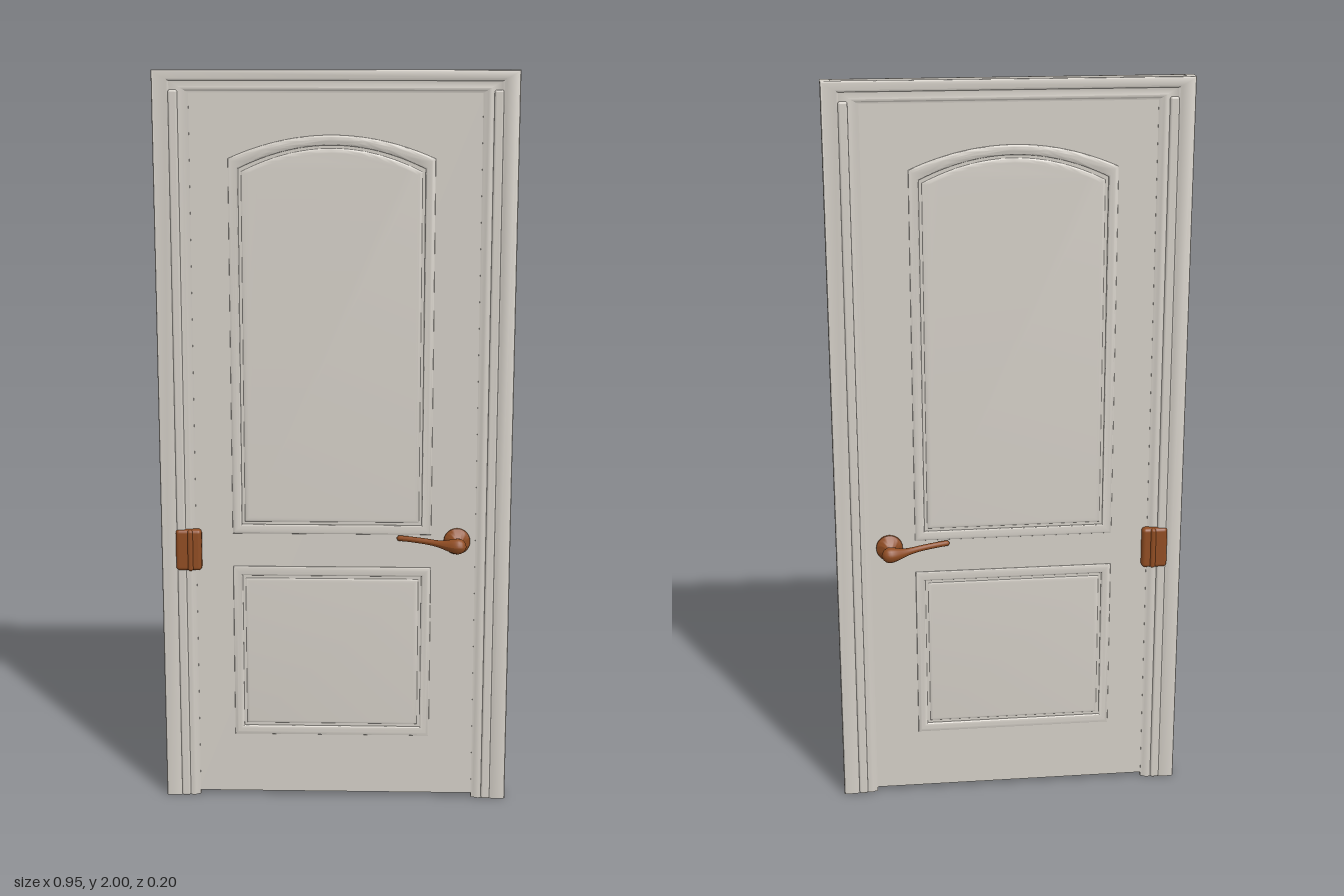
import * as THREE from 'three';
import { RoundedBoxGeometry } from 'three/addons/geometries/RoundedBoxGeometry.js';
import { toCreasedNormals } from 'three/addons/utils/BufferGeometryUtils.js';

const W = 0.475, H = 2;

export function createModel() {
  const paint = new THREE.MeshStandardMaterial({ color: 0xd2cdc5 });
  paint.name = 'warm grey paint';
  const bronze = new THREE.MeshStandardMaterial({ color: 0x8f4c22 });
  bronze.name = 'brown metal';

  const group = new THREE.Group();
  group.name = 'door';
  group.position.z = -0.003;
  const add = (name, geo, mat, x = 0, y = 0, z = 0, parent = group) => {
    const m = new THREE.Mesh(geo, mat);
    m.name = name;
    m.position.set(x, y, z);
    parent.add(m);
    return m;
  };

  // Frame moulding: [distance inward, z], front half then mirrored back half
  const half = [[0, 0.016], [0, 0.021], [0.002, 0.025], [0.007, 0.027], [0.036, 0.027], [0.041, 0.025],
    [0.045, 0.022], [0.068, 0.022], [0.074, 0.024], [0.082, 0.023], [0.088, 0.019], [0.095, 0.018]];
  const outline = [...half, ...half.slice().reverse().map(([d, z]) => [d, -z])];
  const slotted = [...outline, [0.06, -0.016], [0.06, 0.016]]; // channel along the outer edge
  const stations = [
    (d, z) => [-W + d, 0, z],
    (d, z) => [-W + d, H - d * 0.61, z],
    (d, z) => [W - d, H - d * 0.61, z],
    (d, z) => [W - d, 0, z],
  ];
  const pos = [];
  for (let j = 0; j < 3; j++) {
    slotted.forEach((p, i) => {
      const q = slotted[(i + 1) % slotted.length];
      const a = stations[j](...p), b = stations[j](...q), c = stations[j + 1](...q), d = stations[j + 1](...p);
      pos.push(...a, ...b, ...c, ...a, ...c, ...d);
    });
  }
  const frameGeo = new THREE.BufferGeometry();
  frameGeo.setAttribute('position', new THREE.Float32BufferAttribute(pos, 3));
  add('frame', toCreasedNormals(frameGeo, 0.7), paint);

  for (const s of [-1, 1]) {
    // Closed outer edge, foot and raised bead of each jamb
    add('jambEdge', new THREE.BoxGeometry(0.025, H, 0.032), paint, s * (W - 0.0125), H / 2, 0);
    const foot = new THREE.Shape(outline.map(([d, z]) => new THREE.Vector2(s * (W - d), z)));
    add('jambFoot', new THREE.ShapeGeometry(foot).rotateX(Math.PI / 2), paint);
    add('jambBead', new RoundedBoxGeometry(0.024, 1.95, 0.06, 3, 0.006), paint, s * 0.42, 0.975, 0);
  }

  // Door leaf
  add('leaf', new THREE.BoxGeometry(0.77, 1.933, 0.034), paint, 0, 0.9785, 0);

  // Panel outline, inset by t, with an optional arched head
  const panelShape = (y0, y1, rise, t, Type = THREE.Shape) => {
    const w = 0.27 - t, s = new Type();
    s.moveTo(-w, y0 + t);
    s.lineTo(w, y0 + t);
    s.lineTo(w, y1 - t);
    if (rise) s.quadraticCurveTo(0, y1 - t + rise * 2, -w, y1 - t);
    else s.lineTo(-w, y1 - t);
    s.closePath();
    return s;
  };
  const raised = (shape, height, bevel) => toCreasedNormals(new THREE.ExtrudeGeometry(shape, {
    depth: 0.001, bevelThickness: height, bevelSize: bevel, bevelOffset: -bevel, bevelSegments: 4, curveSegments: 24,
  }), 0.6);
  for (const [name, y0, y1, rise] of [['upperPanel', 0.765, 1.775, 0.06], ['lowerPanel', 0.183, 0.672, 0]]) {
    const ring = panelShape(y0, y1, rise, 0);
    ring.holes.push(panelShape(y0, y1, rise, 0.026, THREE.Path));
    const ringGeo = raised(ring, 0.004, 0.01);
    const fieldGeo = raised(panelShape(y0, y1, rise, 0.034), 0.003, 0.012);
    for (const s of [1, -1]) {
      const side = new THREE.Group();
      side.name = name;
      side.position.x = -0.01;
      side.rotation.y = s > 0 ? 0 : Math.PI;
      group.add(side);
      add('panelMoulding', ringGeo, paint, 0, 0, 0.017, side);
      add('panelField', fieldGeo, paint, 0, 0, 0.016, side);
    }
  }

  // Lever handles on both faces
  const profile = [[0, 0.014], [0.036, 0.014], [0.036, 0.023], [0.031, 0.029], [0.018, 0.038], [0.008, 0.047],
    [0.006, 0.055], [0.008, 0.075]].map(([r, y]) => new THREE.Vector2(r, y));
  const roseGeo = toCreasedNormals(new THREE.LatheGeometry(profile, 28), 0.6).rotateX(Math.PI / 2);
  const leverGeo = (s) => {
    const path = new THREE.CatmullRomCurve3([[0.354, 0.749, 0.078], [0.335, 0.75, 0.078], [0.3, 0.751, 0.07],
      [0.25, 0.755, 0.051], [0.2, 0.757, 0.034], [0.166, 0.757, 0.023]].map(([x, y, z]) => new THREE.Vector3(x, y, z * s)));
    const n = 40, geo = new THREE.TubeGeometry(path, n, 1, 16), p = geo.attributes.position;
    const c = new THREE.Vector3(), v = new THREE.Vector3();
    for (let i = 0; i < p.count; i++) {
      const t = Math.floor(i / 17) / n;
      // Rounded bulb at the pivot, tapering to a slim closed tip
      const bulb = 0.013 * Math.exp(-(((t - 0.1) / 0.2) ** 2));
      const start = Math.sqrt(Math.max(0, 1 - Math.max(0, 1 - t / 0.12) ** 2));
      const end = Math.sqrt(Math.max(0, 1 - Math.max(0, (t - 0.96) / 0.04) ** 2));
      const r = (0.0085 + bulb - 0.001 * t) * start * end;
      path.getPointAt(t, c);
      v.fromBufferAttribute(p, i).sub(c).multiplyScalar(r).add(c);
      p.setXYZ(i, v.x, v.y, v.z);
    }
    geo.computeVertexNormals();
    return geo;
  };
  for (const s of [1, -1]) {
    const rose = add('handleRose', roseGeo, bronze, 0.33, 0.748, 0);
    if (s < 0) rose.rotation.y = Math.PI;
    add('handleLever', leverGeo(s), bronze);
  }

  // Hinge block with a knuckle on each face
  add('hinge', new RoundedBoxGeometry(0.07, 0.115, 0.074, 3, 0.01), bronze, -0.4, 0.72, 0);
  for (const s of [1, -1]) {
    add('hingeKnuckle', new THREE.CapsuleGeometry(0.008, 0.1, 4, 12), bronze, -0.395, 0.72, s * 0.034);
  }
  return group;
}
